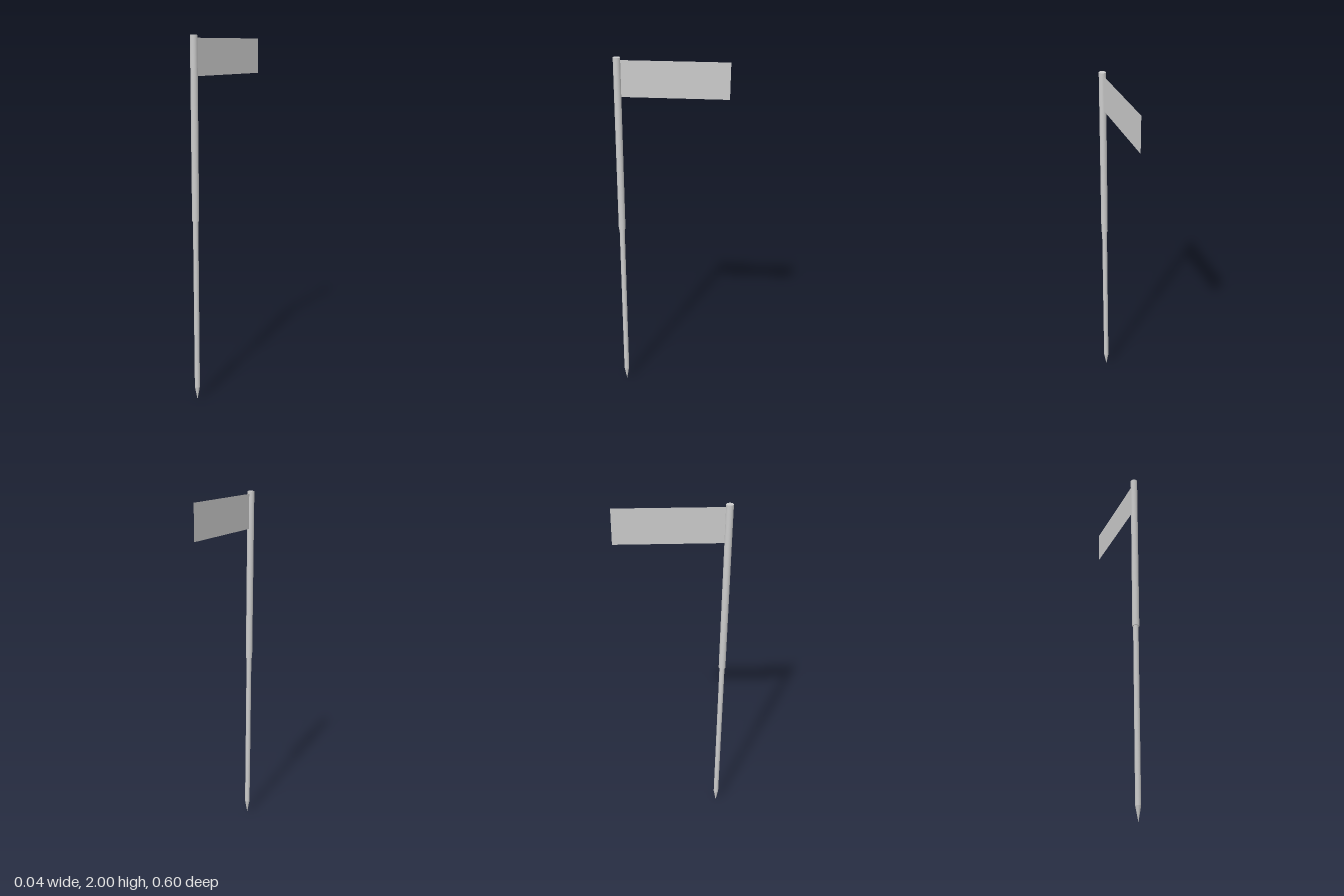
import * as THREE from 'three';

export function createModel() {
  const group = new THREE.Group();
  const grey = new THREE.MeshStandardMaterial({ color: 0xcccccc });
  const poleZ = 0.281;

  // Round pole section between two heights
  const section = (name, bottomRadius, topRadius, y0, y1) => {
    const geometry = new THREE.CylinderGeometry(topRadius, bottomRadius, y1 - y0, 32);
    const mesh = new THREE.Mesh(geometry, grey);
    mesh.name = name;
    mesh.position.set(0, (y0 + y1) / 2, poleZ);
    group.add(mesh);
  };
  section('groundSpike', 0, 0.0145, 0, 0.08);
  section('lowerPole', 0.0145, 0.0145, 0.08, 1.04);
  section('upperPole', 0.019, 0.019, 1.04, 2);

  // Thin flat flag reaching backwards from the pole
  const flagFront = 0.264, flagBack = -0.3, flagBottom = 1.796, flagTop = 1.986;
  const flag = new THREE.Mesh(
    new THREE.PlaneGeometry(flagFront - flagBack, flagTop - flagBottom),
    new THREE.MeshStandardMaterial({ color: 0xcccccc, side: THREE.DoubleSide })
  );
  flag.name = 'flag';
  flag.rotation.y = Math.PI / 2;
  flag.position.set(0, (flagBottom + flagTop) / 2, (flagFront + flagBack) / 2);
  group.add(flag);

  return group;
}
